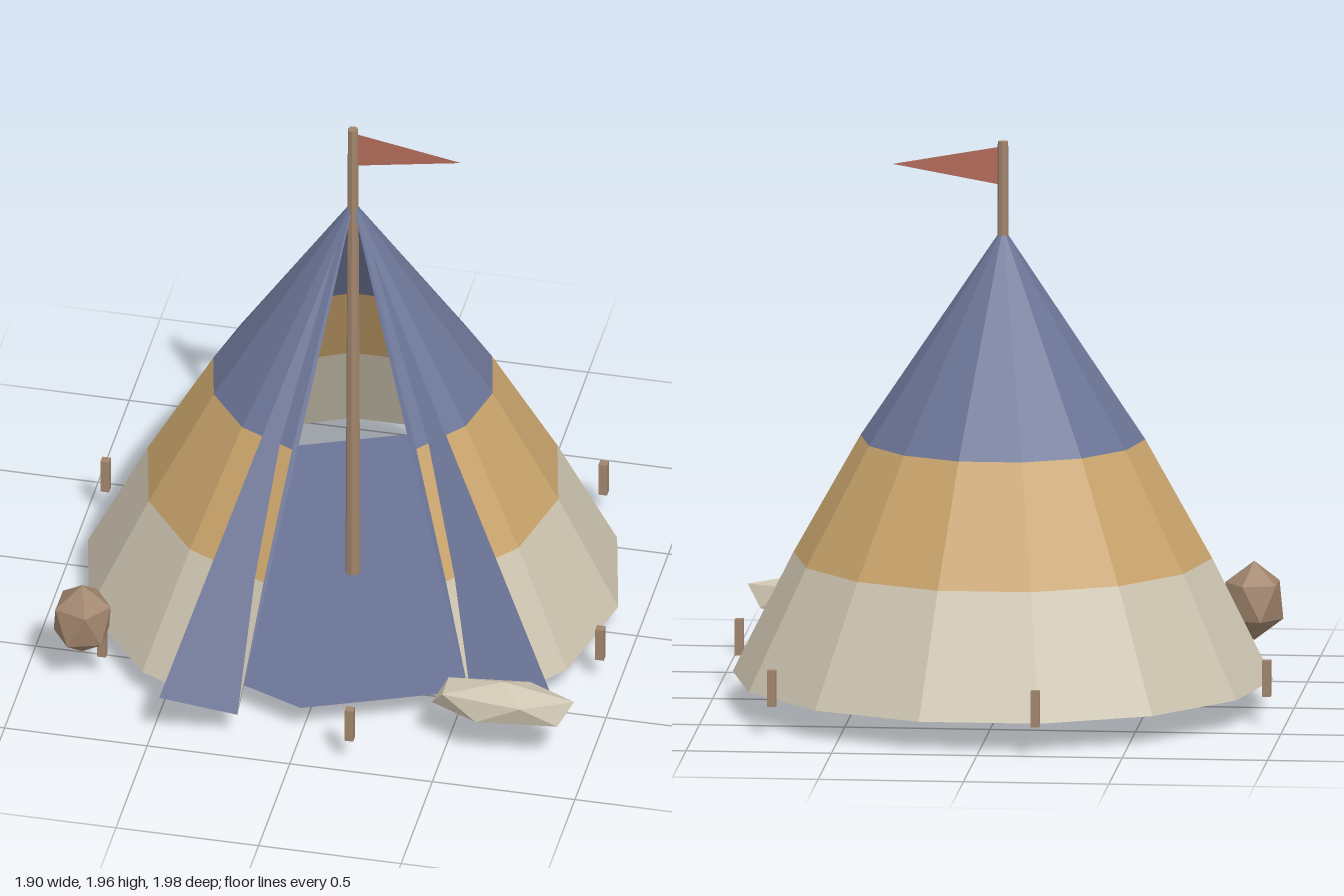
import * as THREE from 'three';

const mat = (name, color) => new THREE.MeshStandardMaterial({ name, color, flatShading: true, side: THREE.DoubleSide });

export function createModel() {
  const blue = mat('blue canvas', 0x6b7496);
  const ochre = mat('ochre canvas', 0xc8a36b);
  const stone = mat('pale canvas', 0xcdc4b0);
  const wood = mat('wood', 0xa0846c);
  const red = mat('flag red', 0xb26b5a);

  const group = new THREE.Group();
  const CZ = -0.015; // tent axis
  const add = (name, geometry, material, x = 0, y = 0, z = 0) => {
    const mesh = new THREE.Mesh(geometry, material);
    mesh.name = name;
    mesh.position.set(x, y, z);
    group.add(mesh);
    return mesh;
  };
  const triangle = (...points) => {
    const g = new THREE.BufferGeometry().setFromPoints(points.map((p) => new THREE.Vector3(...p)));
    g.computeVertexNormals();
    return g;
  };

  // Canvas: three bands of a 14-sided cone, two panels left open at the front
  const step = (Math.PI * 2) / 14;
  const bands = [
    ['lowerCanvas', stone, 0.1, 0.93, 0.52, 0.72],
    ['middleCanvas', ochre, 0.52, 0.72, 0.93, 0.49],
    ['upperCanvas', blue, 0.93, 0.49, 1.64, 0.015],
  ];
  for (const [name, material, y0, r0, y1, r1] of bands) {
    const g = new THREE.CylinderGeometry(r1, r0, y1 - y0, 12, 1, true, step * 1.5, step * 12);
    add(name, g, material, 0, (y0 + y1) / 2, CZ);
  }

  // Door flaps folded outwards
  const apex = [0, 1.64, CZ];
  add('rightFlap', triangle(apex, [-0.46, 0.2, 0.99], [-0.207, 0.1, 0.892]), blue);
  add('leftFlap', triangle(apex, [0.58, 0.1, 0.712], [0.85, 0.2, 0.69]), blue);

  // Octagonal ground sheet
  const floor = new THREE.CircleGeometry(0.835, 8).rotateX(-Math.PI / 2);
  add('groundSheet', floor, blue, 0, 0.11, CZ);

  // Centre pole and pennant
  add('pole', new THREE.CylinderGeometry(0.018, 0.027, 1.96, 8), wood, 0, 0.98, CZ);
  add('flag', triangle([0.015, 1.81, CZ], [0.38, 1.875, CZ], [0.015, 1.94, CZ]), red);

  // Ring of six pegs
  for (let i = 0; i < 6; i++) {
    const a = 0.204 + (i * Math.PI) / 3;
    add('peg', new THREE.BoxGeometry(0.03, 0.125, 0.03), wood,
      Math.sin(a) * 0.985, 0.1625, Math.cos(a) * 0.985 + CZ);
  }

  // Rocks: icosahedra standing on a corner
  const rock = (sx, sy, sz, turn) => new THREE.IcosahedronGeometry(1, 0)
    .rotateX(-Math.atan((1 + Math.sqrt(5)) / 2))
    .rotateY(turn)
    .scale(sx, sy, sz);
  add('paleRock', rock(0.279, 0.084, 0.1, Math.PI / 2), stone, 0.702, 0.22, 0.79);
  add('brownRock', rock(0.112, 0.138, 0.112, 0.3), wood, -0.803, 0.253, 0.655);

  return group;
}
